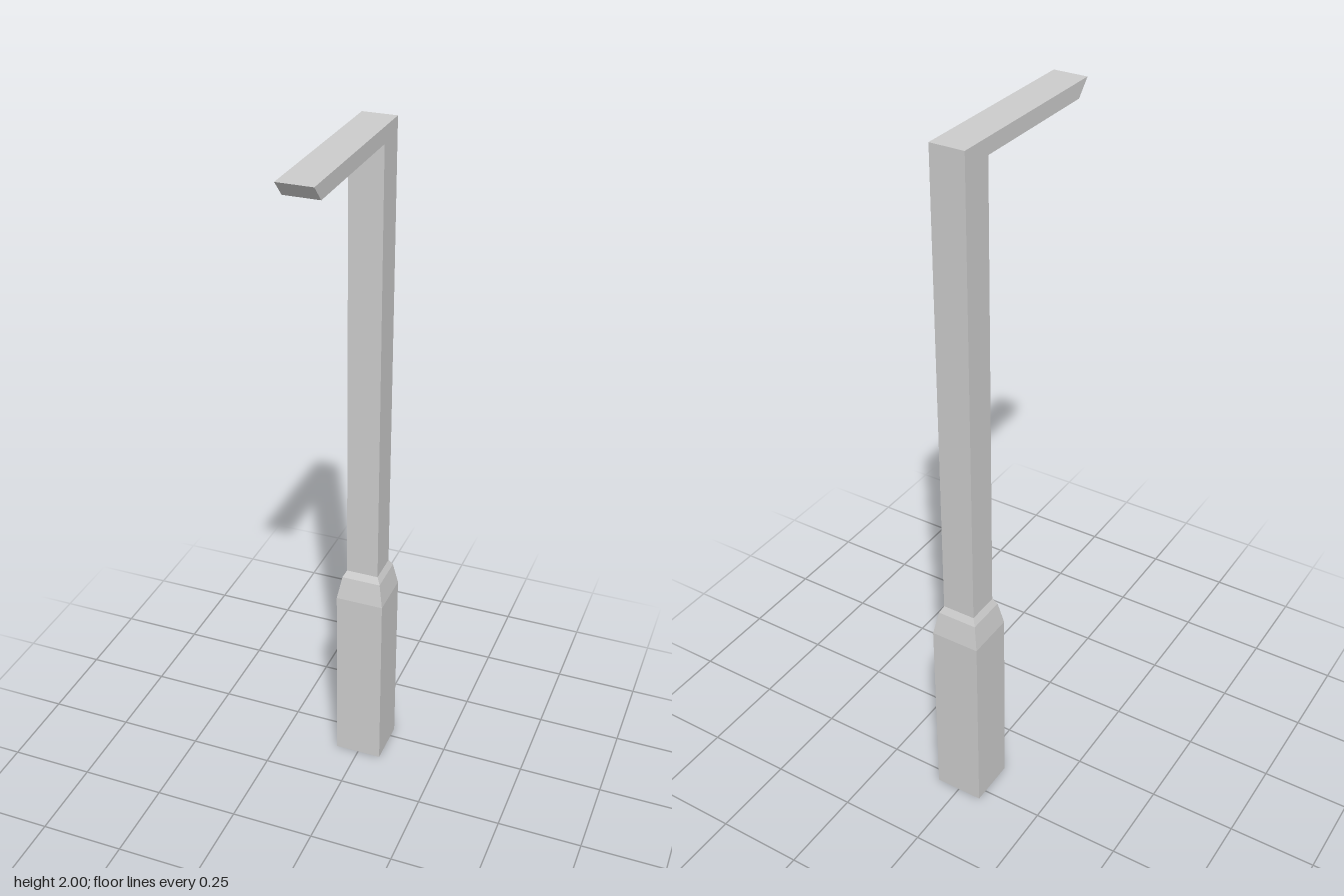
import * as THREE from 'three';

const POST_Z = -0.214; // depth position of the upright
const POST_HALF = 0.0475; // half width of post and arm
const COLLAR_TOP = 0.67;

export function createModel() {
  const model = new THREE.Group();
  model.name = 'angledPost';
  const material = new THREE.MeshStandardMaterial({ color: 0xcccccc, flatShading: true });

  // Square base with a two-step tapered collar: [half width, height]
  const profile = [[0, 0], [0.071, 0], [0.071, 0.58], [0.058, 0.65], [POST_HALF, COLLAR_TOP]]
    .map(([half, y]) => new THREE.Vector2(half * Math.SQRT2, y));
  const base = new THREE.Mesh(new THREE.LatheGeometry(profile, 4, Math.PI / 4), material);
  base.name = 'base';
  base.position.z = POST_Z;
  model.add(base);

  // Upright and forward arm with a bevelled tip, drawn as a side profile (z, y)
  const back = POST_Z - POST_HALF, front = POST_Z + POST_HALF;
  const side = new THREE.Shape([
    [back, COLLAR_TOP], [front, COLLAR_TOP], [front, 1.957],
    [0.245, 1.957], [0.285, 2], [back, 2],
  ].map(([z, y]) => new THREE.Vector2(z, y)));
  const geometry = new THREE.ExtrudeGeometry(side, { depth: 2 * POST_HALF, bevelEnabled: false });
  geometry.translate(0, 0, -POST_HALF).rotateY(-Math.PI / 2);
  const post = new THREE.Mesh(geometry, material);
  post.name = 'postAndArm';
  model.add(post);

  return model;
}
